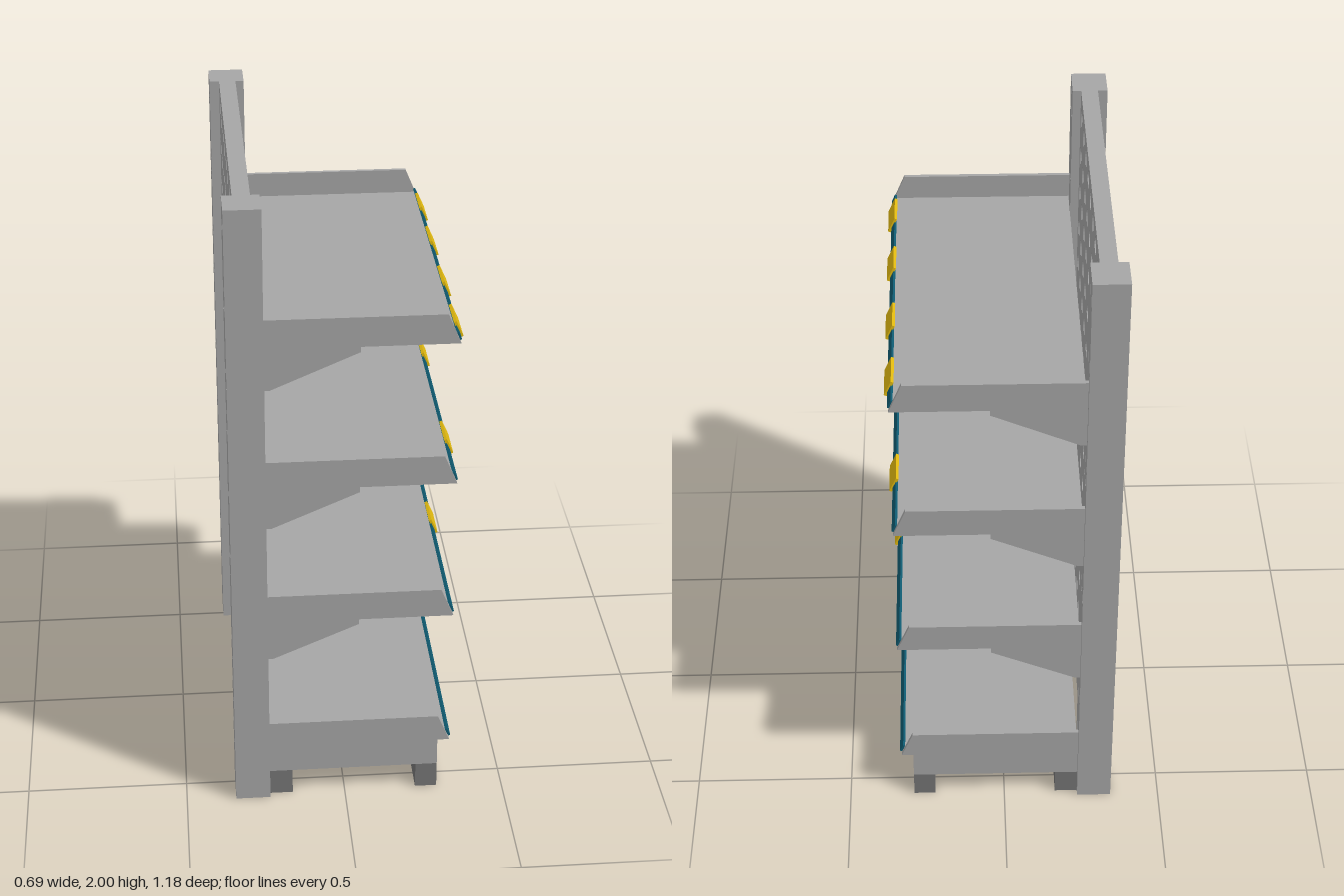
import * as THREE from 'three';

const material = (name, color) => {
  const m = new THREE.MeshStandardMaterial({ color });
  m.name = name;
  return m;
};

export function createModel() {
  const model = new THREE.Group();
  model.name = 'displayShelf';
  const steel = material('greySteel', 0xa5a5a5);
  const dark = material('darkGreySteel', 0x747474);
  const blue = material('tealStrip', 0x0f5a70);
  const yellow = material('yellowTag', 0xe0b810);

  const add = (name, geometry, mat, parent = model) => {
    const mesh = new THREE.Mesh(geometry, mat);
    mesh.name = name;
    parent.add(mesh);
    return mesh;
  };
  // box given by its limits on each axis
  const box = (name, mat, x0, x1, y0, y1, z0, z1, parent) =>
    add(name, new THREE.BoxGeometry(x1 - x0, y1 - y0, z1 - z0)
      .translate((x0 + x1) / 2, (y0 + y1) / 2, (z0 + z1) / 2), mat, parent);
  const polygon = (pts) => new THREE.Shape(pts.map(([x, y]) => new THREE.Vector2(x, y)));
  const rect = (x0, x1, y0, y1) => [[x0, y0], [x1, y0], [x1, y1], [x0, y1]];
  const extrude = (shape, depth, curveSegments = 8) =>
    new THREE.ExtrudeGeometry(shape, { depth, bevelEnabled: false, curveSegments });
  // plate facing +x, extruded from x0 to x1
  const upright = (shape, x0, x1) =>
    extrude(shape, x1 - x0).rotateY(Math.PI / 2).translate(x0, 0, 0);
  // side plate drawn in x and y, placed on both ends
  const sidePlates = (name, pts, parent) => {
    for (const z of [-0.57, 0.557]) {
      add(name, extrude(polygon(pts), 0.013).translate(0, 0, z), steel, parent);
    }
  };

  // slotted posts
  const slotRows = [1.93, 1.7, 1.47, 1.31, 1.08, 0.85, 0.54, 0.385, 0.23];
  for (const side of [-1, 1]) {
    const post = polygon(rect(-0.055, 0.055, 0, 2));
    for (const y of slotRows) {
      for (const u of [-0.026, 0.026]) {
        post.holes.push(polygon(rect(u - 0.006, u + 0.006, y - 0.034, y + 0.034)));
      }
    }
    add('post', upright(post, -0.345, -0.237).translate(0, 0, side * 0.536), steel);
  }

  // perforated back panel
  const panel = polygon(rect(-0.481, 0.481, 0, 2));
  for (let row = 0; row < 15; row++) {
    for (let col = 0; col < 8; col++) {
      const hole = new THREE.Path();
      hole.absarc((col - 3.5) * 0.12, 1.938 - row * 0.1328, 0.027, 0, Math.PI * 2, true);
      panel.holes.push(hole);
    }
  }
  add('backPanel', upright(panel, -0.315, -0.263), steel);

  // shelf deck, front strip and price tags; y is the underside of the deck
  const addDeck = (parent, y, tags) => {
    box('shelfDeck', steel, -0.235, 0.323, y, y + 0.015, -0.557, 0.557, parent);
    const strip = add('frontStrip', new THREE.BoxGeometry(0.007, 0.026, 1.11), blue, parent);
    strip.position.set(0.327, y + 0.016, 0);
    strip.rotation.z = 0.42;
    for (const z of tags) {
      const tag = add('priceTag', new THREE.BoxGeometry(0.009, 0.052, 0.122), yellow, parent);
      tag.position.set(0.331, y + 0.017, z);
      tag.rotation.z = 0.42;
    }
  };

  // three upper shelves with cantilever brackets
  const levels = [[1.56, [0.45, 0.17, -0.14, -0.42]], [1.1, [0.31, -0.29]], [0.638, [0]]];
  for (const [y, tags] of levels) {
    const shelf = new THREE.Group();
    shelf.name = 'shelf';
    model.add(shelf);
    sidePlates('shelfBracket', [
      [-0.24, y - 0.13], [-0.22, y - 0.13], [0.042, y - 0.017], [0.042, y],
      [0.332, y], [0.293, y + 0.093], [-0.24, y + 0.093],
    ], shelf);
    addDeck(shelf, y, tags);
  }

  // base shelf with its plinth
  const base = new THREE.Group();
  base.name = 'baseShelf';
  model.add(base);
  sidePlates('baseSide', [
    [-0.24, 0.085], [0.293, 0.085], [0.293, 0.176], [0.33, 0.176],
    [0.293, 0.265], [-0.24, 0.265],
  ], base);
  addDeck(base, 0.176, []);
  box('baseBody', steel, -0.237, 0.293, 0.085, 0.176, -0.557, 0.557, base);
  box('frontPlinth', dark, 0.225, 0.293, 0, 0.085, -0.57, 0.57, base);
  box('rearPlinth', dark, -0.237, -0.165, 0, 0.085, -0.57, 0.57, base);

  return model;
}
